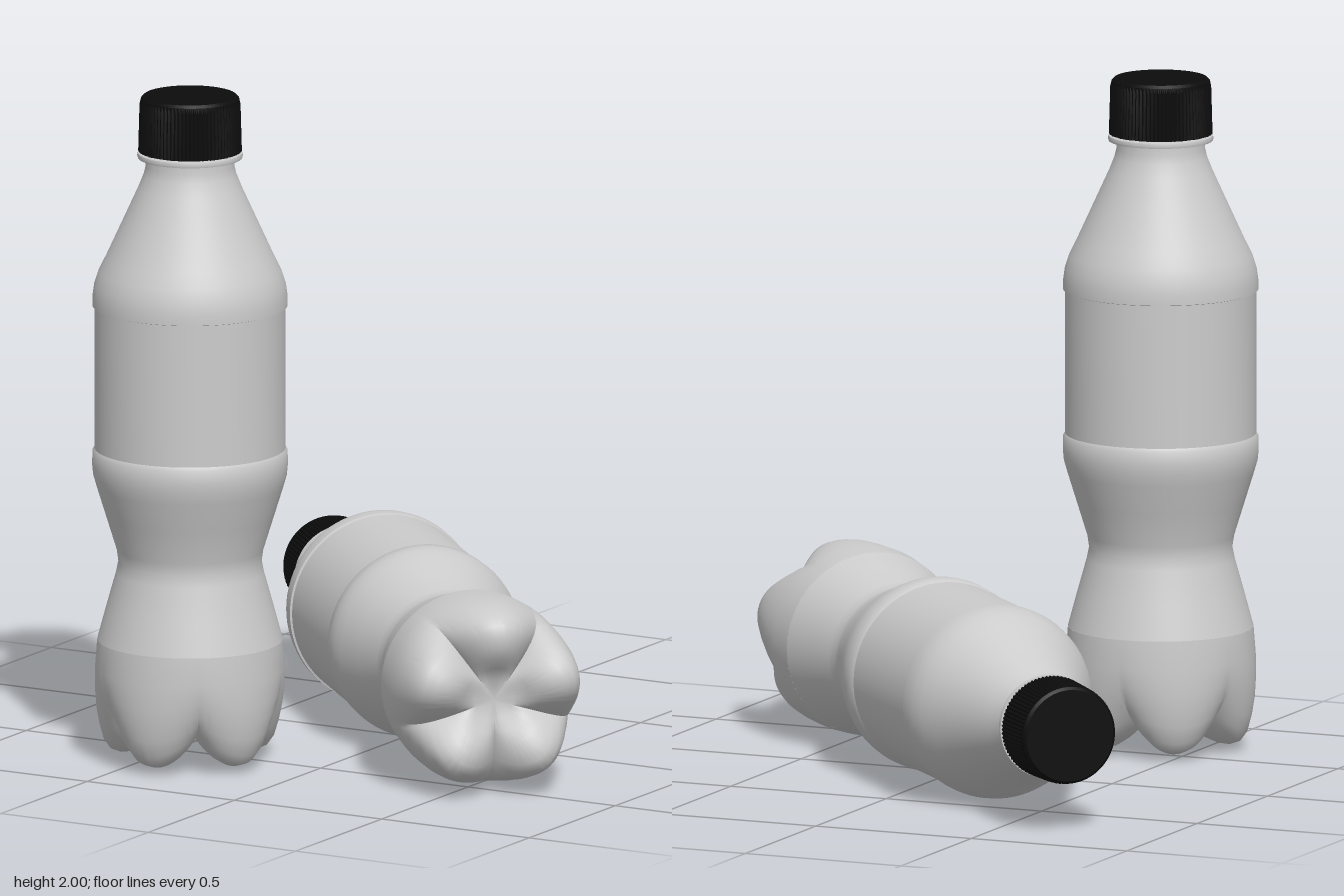
import * as THREE from 'three';
import { toCreasedNormals } from 'three/addons/utils/BufferGeometryUtils.js';

// Lathe around y whose vertices may be moved by a rule: warp(row, angle) -> [radius, height]
function lathe(points, segments, crease, warp) {
  const profile = points.map(([r, y]) => new THREE.Vector2(r, y));
  const start = Math.PI / 5;
  const geo = new THREE.LatheGeometry(profile, segments, start, Math.PI * 2);
  if (warp) {
    const pos = geo.attributes.position;
    for (let i = 0; i < pos.count; i++) {
      const column = Math.floor(i / points.length);
      const angle = start + (column / segments) * Math.PI * 2;
      const [r, y] = warp(i % points.length, angle, column);
      pos.setXYZ(i, r * Math.sin(angle), y, r * Math.cos(angle));
    }
  }
  return toCreasedNormals(geo, crease);
}

// Five-footed base: blends a foot profile with a groove profile around the axis
const foot = [[0, 0.1], [0.06, 0.1], [0.1, 0.07], [0.135, 0.04], [0.17, 0.026], [0.205, 0.022],
  [0.235, 0.032], [0.255, 0.06], [0.268, 0.11], [0.276, 0.16], [0.279, 0.21], [0.279, 0.28], [0.272, 0.37]];
const groove = [[0, 0.1], [0.06, 0.1], [0.09, 0.1], [0.12, 0.102], [0.15, 0.106], [0.175, 0.112],
  [0.2, 0.122], [0.222, 0.137], [0.242, 0.16], [0.258, 0.19], [0.27, 0.23], [0.278, 0.285], [0.272, 0.37]];
function baseWarp(row, angle) {
  const w = Math.pow(Math.abs(Math.cos(2.5 * angle)), 0.9);
  return [0, 1].map((k) => THREE.MathUtils.lerp(groove[row][k], foot[row][k], w));
}

const lowerBody = [[0.272, 0.37], [0.245, 0.47], [0.217, 0.57], [0.21, 0.605], [0.215, 0.64],
  [0.246, 0.74], [0.274, 0.83], [0.284, 0.865], [0.287, 0.895], [0.286, 0.935], [0.28, 0.945]];
const label = [[0.28, 0.945], [0.28, 1.37]];
const shoulder = [[0.28, 1.37], [0.286, 1.372], [0.286, 1.4], [0.281, 1.435], [0.268, 1.475], [0.248, 1.515],
  [0.2, 1.62], [0.152, 1.725], [0.136, 1.765], [0.13, 1.79], [0.13, 1.83]];
const neckRing = [[0.128, 1.812], [0.153, 1.815], [0.155, 1.822], [0.153, 1.83], [0.128, 1.832]];
const cap = [[0.12, 1.835], [0.152, 1.835], [0.148, 1.975], [0.144, 1.992], [0.136, 2], [0, 2]];

// Fine vertical ribs on the cap skirt
function capWarp(row, angle, column) {
  const [r, y] = cap[row];
  const ribbed = row === 1 || row === 2;
  return [ribbed && column % 2 ? r - 0.004 : r, y];
}

export function createModel() {
  const plastic = new THREE.MeshStandardMaterial({ color: 0xcccccc });
  plastic.name = 'pale grey plastic';
  const black = new THREE.MeshStandardMaterial({ color: 0x0c0c0c });
  black.name = 'black cap';

  const parts = [
    ['footedBase', lathe(foot, 160, 0.7, baseWarp), plastic],
    ['lowerBody', lathe(lowerBody, 80, 0.7), plastic],
    ['labelBand', lathe(label, 80, 0.7), plastic],
    ['shoulder', lathe(shoulder, 80, 0.7), plastic],
    ['neckRing', lathe(neckRing, 64, 0.7), plastic],
    ['cap', lathe(cap, 160, 0.4, capWarp), black],
  ];

  function bottle(name) {
    const group = new THREE.Group();
    group.name = name;
    for (const [part, geo, mat] of parts) {
      const mesh = new THREE.Mesh(geo, mat);
      mesh.name = part;
      group.add(mesh);
    }
    return group;
  }

  const model = new THREE.Group();
  model.name = 'bottles';

  const upright = bottle('uprightBottle');
  upright.position.set(-0.385, 0, 0.6);

  // Lying diagonally, cap to the back
  const lying = bottle('lyingBottle');
  lying.rotation.set(-Math.PI / 2, Math.PI / 4, 0, 'YXZ');
  lying.position.set(0.694, 0.292, 0.629);

  model.add(upright, lying);
  return model;
}
